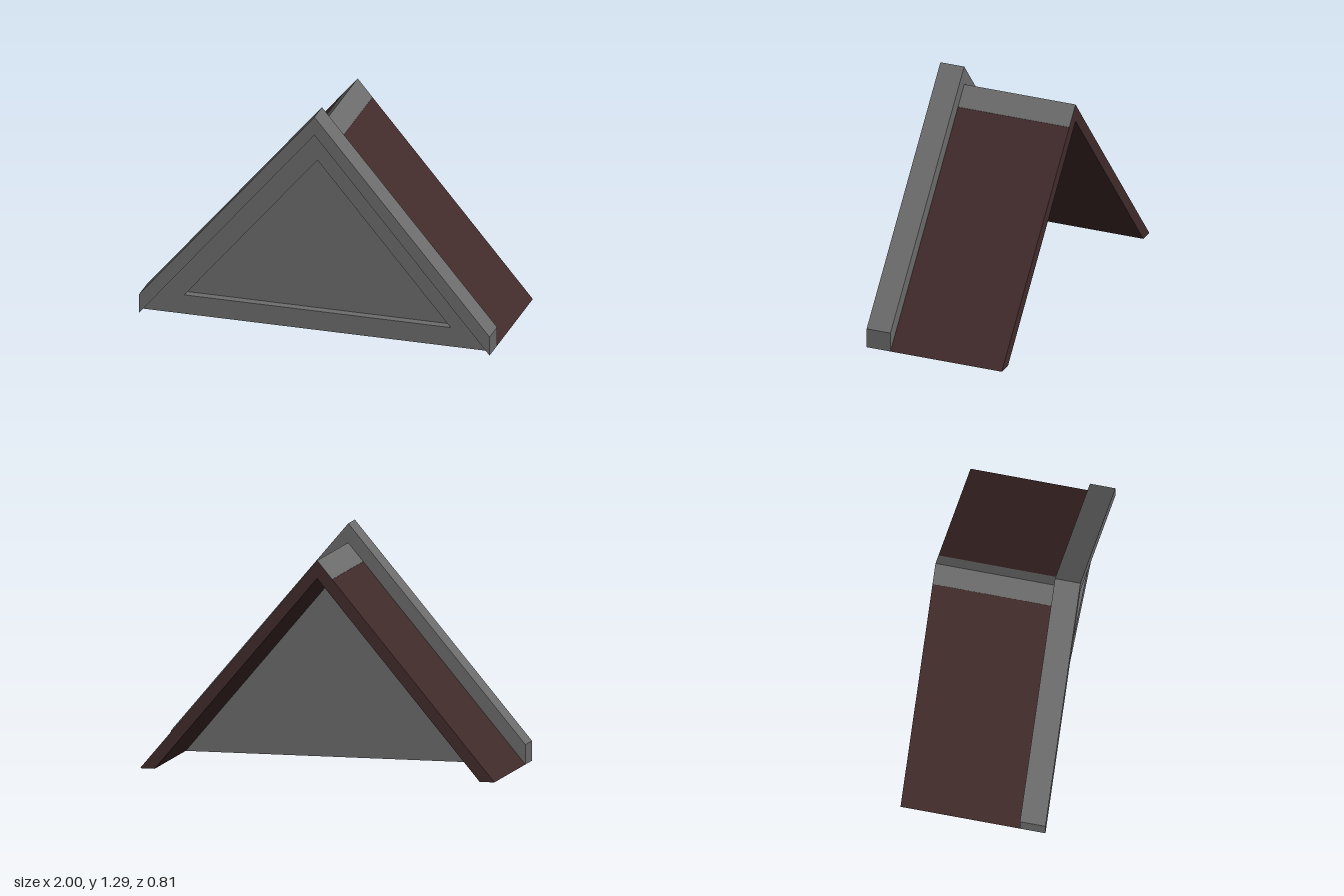
import * as THREE from 'three';

// Flat profile from a list of [x, y] corners
const outline = (pts, Type = THREE.Shape) => new Type(pts.map(([x, y]) => new THREE.Vector2(x, y)));

export function createModel() {
  const group = new THREE.Group();
  const stone = new THREE.MeshStandardMaterial({ color: 0x6d6d6d });
  stone.name = 'grey trim';
  const tile = new THREE.MeshStandardMaterial({ color: 0x422b2b });
  tile.name = 'dark red roofing';

  // Extrudes a profile between two depths
  const add = (name, shape, z0, z1, material) => {
    const geometry = new THREE.ExtrudeGeometry(shape, { depth: z1 - z0, bevelEnabled: false });
    geometry.translate(0, 0, z0);
    const mesh = new THREE.Mesh(geometry, material);
    mesh.name = name;
    group.add(mesh);
  };

  const back = -0.403, wall = 0.261, front = 0.403;
  const ridge = 1.185, peak = 1.292;

  // Roof slopes, an inverted V open at the underside
  add('roofSlopes', outline([[-1, 0], [-0.917, 0], [0, 1.087], [0.917, 0], [1, 0], [0, ridge]]), back, wall, tile);

  // Thin ridge cap folded over the top
  const capX = 0.085, capY = ridge * (1 - capX), lift = 0.001;
  add('ridgeCap', outline([[-capX, capY], [0, ridge], [capX, capY], [capX, capY + lift],
    [0, ridge + lift], [-capX, capY + lift]]), back, wall, stone);

  // Raised boards along the gable edges
  add('rakeBoards', outline([[-1, 0], [0, ridge], [1, 0], [1, 0.11], [0, peak], [-1, 0.11]]), wall, front, stone);

  // Triangular frame set back from the boards
  const opening = [[-0.76, 0.112], [0, 1.012], [0.76, 0.112]];
  const frame = outline([[-1, 0], [1, 0], [0, ridge]]);
  frame.holes.push(outline(opening, THREE.Path));
  add('gableFrame', frame, wall, 0.345, stone);

  // Recessed panel filling the frame
  add('gablePanel', outline(opening), wall, 0.297, stone);

  return group;
}
